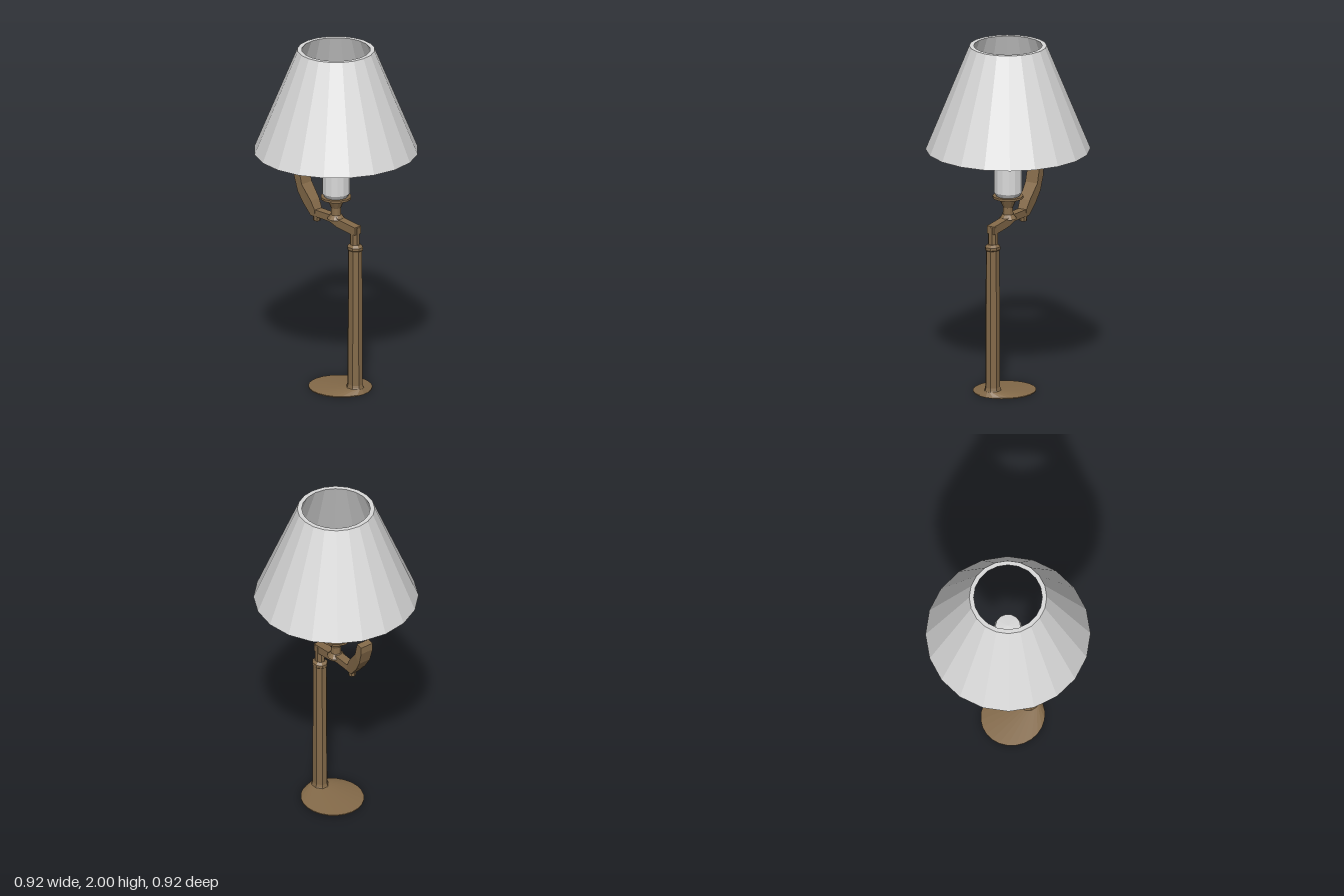
import * as THREE from 'three';

export function createModel() {
  const lamp = new THREE.Group();
  lamp.name = 'deskLamp';
  const brass = new THREE.MeshStandardMaterial({ color: 0x846a49, flatShading: true });
  brass.name = 'brownBrass';
  const white = new THREE.MeshStandardMaterial({ color: 0xdadada, flatShading: true });
  white.name = 'offWhite';

  const add = (name, geometry, material, x = 0, y = 0, z = 0) => {
    const mesh = new THREE.Mesh(geometry, material);
    mesh.name = name;
    mesh.position.set(x, y, z);
    lamp.add(mesh);
    return mesh;
  };
  const lathe = (points, sides) =>
    new THREE.LatheGeometry(points.map(([r, y]) => new THREE.Vector2(r, y)), sides);
  // Side outline extruded symmetrically about z = 0
  const slab = (points, depth) => {
    const shape = new THREE.Shape(points.map(([x, y]) => new THREE.Vector2(x, y)));
    return new THREE.ExtrudeGeometry(shape, { depth, bevelEnabled: false }).translate(0, 0, -depth / 2);
  };

  // Thick-walled conical shade, open at both ends
  add('shade', lathe([[0.425, 1.4], [0.462, 1.4], [0.217, 2], [0.192, 2], [0.425, 1.4]], 20), white);

  // Bulb sleeve
  add('bulbSleeve', lathe([[0, 1.125], [0.065, 1.125], [0.08, 1.15], [0.08, 1.5], [0.07, 1.53], [0, 1.535]], 14), white);

  // Socket: stem, cup and thin flange
  add('socket', lathe([[0, 0.99], [0.05, 0.995], [0.03, 1.02], [0.028, 1.06], [0.05, 1.11],
    [0.087, 1.114], [0.087, 1.127], [0, 1.127]], 12), brass);

  // Crossbar dropping slightly towards the post
  add('crossbar', slab([[-0.17, 0.975], [-0.03, 0.975], [0.03, 0.955], [0.13, 0.942], [0.172, 0.942],
    [0.172, 0.987], [0.14, 0.99], [0.04, 1.002], [0.02, 1.015], [-0.03, 1.015], [-0.17, 1.015]], 0.05), brass);
  add('crossbarKnob', new THREE.CylinderGeometry(0.025, 0.02, 0.04, 8), brass, -0.15, 0.965);

  // Bent paddle, widening towards its tip
  const paddle = slab([[-0.14, 0.975], [-0.175, 0.975], [-0.23, 1.04], [-0.265, 1.1], [-0.288, 1.18],
    [-0.288, 1.222], [-0.25, 1.228], [-0.23, 1.148], [-0.165, 1.065], [-0.14, 1.015]], 0.06);
  const p = paddle.attributes.position;
  for (let i = 0; i < p.count; i++) {
    const t = THREE.MathUtils.clamp((p.getY(i) - 0.98) / 0.15, 0, 1);
    p.setZ(i, p.getZ(i) * (0.85 + 0.5 * t));
  }
  paddle.computeVertexNormals();
  add('paddle', paddle, brass);

  // Neck between crossbar and post
  const neck = new THREE.CylinderGeometry(0.028, 0.028, 0.13, 8).rotateY(Math.PI / 8);
  add('neck', neck, brass, 0.148, 0.915);

  // Octagonal post with a small collar and flared foot
  const post = lathe([[0, 0.008], [0.066, 0.008], [0.052, 0.035], [0.048, 0.05], [0.044, 0.845],
    [0.049, 0.85], [0.049, 0.866], [0.032, 0.88], [0, 0.88]], 8).rotateY(Math.PI / 8).scale(1, 1, 0.86);
  add('post', post, brass, 0.15);

  // Round base whose top rises to an off-centre peak under the post
  const base = lathe([[0, 0], [0.18, 0], [0.18, 0.006], [0.05, 0.03], [0, 0.03]], 24);
  const b = base.attributes.position;
  for (let i = 0; i < b.count; i++) {
    const peak = b.getY(i) > 0.02 ? 0.118 : 0;
    b.setXYZ(i, b.getX(i) * 1.02 + peak, b.getY(i), b.getZ(i) * 0.97);
  }
  base.computeVertexNormals();
  add('base', base, brass, 0.034);

  return lamp;
}
